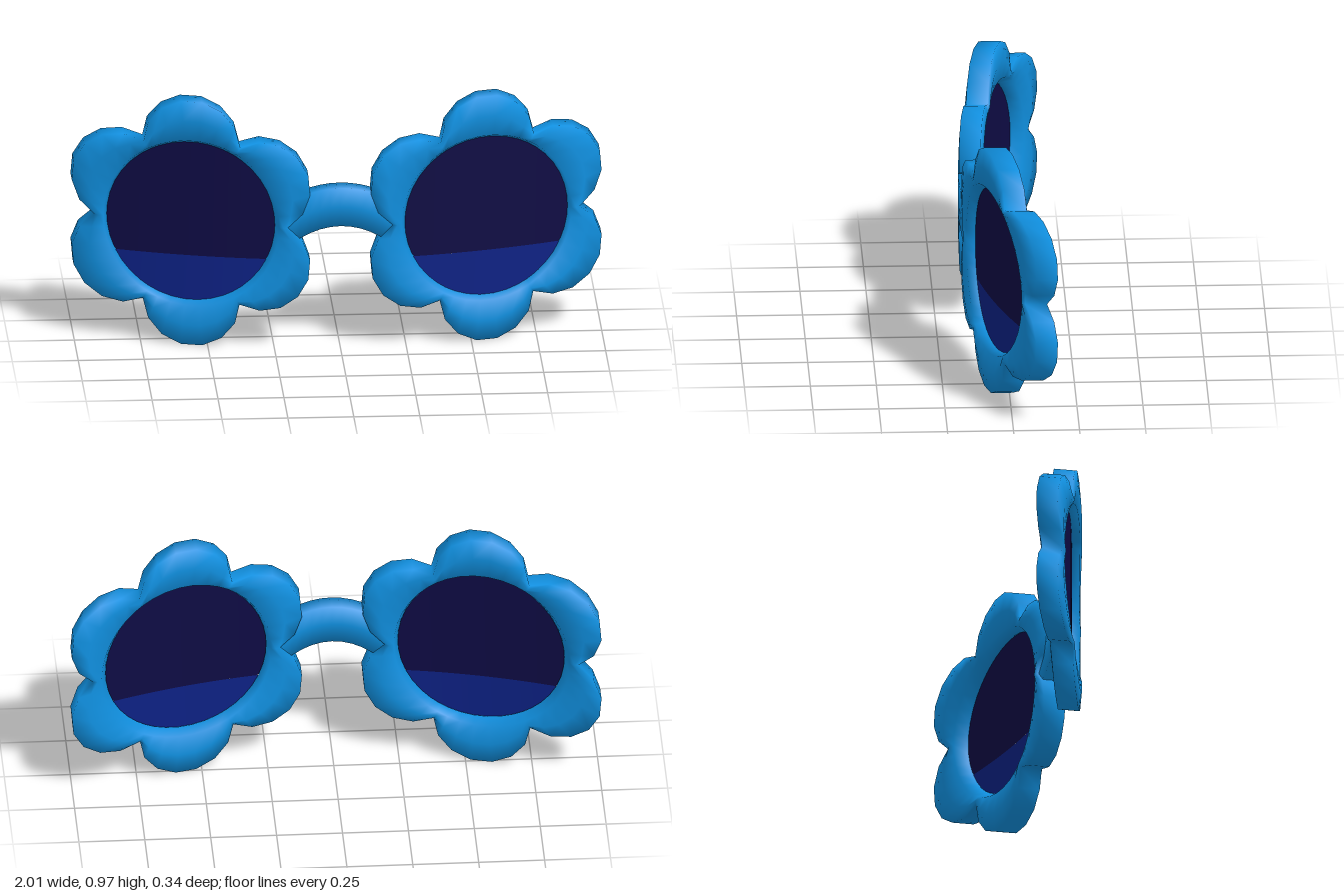
import * as THREE from 'three';
import { mergeVertices } from 'three/addons/utils/BufferGeometryUtils.js';

const CX = 0.56, CY = 0.483, LENS_R = 0.315, STRIPE_Y = 0.345;
// Wrap-around bend: depth of the glasses at a given x
const bend = (x) => 0.13 - 0.04 * Math.abs(x) - 0.215 * x * x;

const material = (name, color) => {
  const m = new THREE.MeshStandardMaterial({ color });
  m.name = name;
  return m;
};

// Six round petals, seven flat edges each, swept around the lens opening
function flowerFrame(cx) {
  const outline = [];
  for (let p = 0; p < 6; p++) {
    const dir = Math.PI / 6 + (p * Math.PI) / 3;
    for (let s = 0; s < 7; s++) {
      const a = dir + THREE.MathUtils.degToRad(-88 + (s * 176) / 7);
      outline.push([
        0.305 * Math.cos(dir) + 0.182 * Math.cos(a),
        0.305 * Math.sin(dir) + 0.182 * Math.sin(a),
      ]);
    }
  }
  // Cross-section: [inner offset, share of petal width, depth]
  const profile = [
    [0, 0, 0], [0.018, 0, 0.04], [0.018, 0.5, 0.048], [0.018, 1, 0.041],
    [0.018, 1, -0.041], [0.018, 0.5, -0.048], [0.018, 0, -0.04],
  ];
  const n = outline.length, m = profile.length, pos = [], index = [];
  outline.forEach(([ox, oy], i) => {
    const R = Math.hypot(ox, oy);
    profile.forEach(([add, t, z], j) => {
      const r = 0.31 + add + t * (R - 0.328);
      const x = cx + (ox / R) * r;
      pos.push(x, CY + (oy / R) * r, bend(x) + z);
      const i2 = (i + 1) % n, j2 = (j + 1) % m;
      const a = i * m + j, b = i * m + j2, c = i2 * m + j2, d = i2 * m + j;
      index.push(a, b, d, b, c, d);
    });
  });
  const g = new THREE.BufferGeometry();
  g.setAttribute('position', new THREE.Float32BufferAttribute(pos, 3));
  g.setIndex(index);
  g.computeVertexNormals();
  return g;
}

// Bent sheet covering the part of the lens disc between two heights
function lensSheet(cx, yMin, yMax, halfWidth) {
  const g = new THREE.PlaneGeometry(2, 2, 32, 1);
  const p = g.attributes.position;
  for (let i = 0; i < p.count; i++) {
    const dx = halfWidth * Math.sin((p.getX(i) * Math.PI) / 2);
    const h = Math.sqrt(Math.max(0, LENS_R * LENS_R - dx * dx));
    const y = THREE.MathUtils.clamp(CY + Math.sign(p.getY(i)) * h, yMin, yMax);
    p.setXYZ(i, cx + dx, y, bend(cx + dx) + 0.008);
  }
  g.computeVertexNormals();
  return g;
}

// Arched bar between the two flowers
function bridgeBar() {
  let g = new THREE.BoxGeometry(0.46, 2, 0.072, 12, 2, 1);
  g.deleteAttribute('normal');
  g.deleteAttribute('uv');
  g = mergeVertices(g);
  const p = g.attributes.position;
  for (let i = 0; i < p.count; i++) {
    const x = p.getX(i);
    const top = 0.64 - 1.5 * x * x, bottom = 0.49 - 2.1 * x * x;
    const y = THREE.MathUtils.lerp(bottom, top, (p.getY(i) + 1) / 2);
    p.setXYZ(i, x, y, p.getZ(i) + 0.134 - 0.5 * x * x);
  }
  g.computeVertexNormals();
  return g;
}

export function createModel() {
  const blue = material('frameBlue', 0x1090e0);
  const navy = material('lensNavy', 0x0e0b44);
  const stripe = material('lensStripeBlue', 0x0d2184);
  navy.side = stripe.side = THREE.DoubleSide;

  const model = new THREE.Group();
  model.name = 'flowerGlasses';
  const add = (name, geometry, mat) => {
    const mesh = new THREE.Mesh(geometry, mat);
    mesh.name = name;
    model.add(mesh);
  };

  const chord = Math.sqrt(LENS_R ** 2 - (CY - STRIPE_Y) ** 2);
  for (const [side, s] of [['left', 1], ['right', -1]]) {
    add(side + 'FlowerFrame', flowerFrame(s * CX), blue);
    add(side + 'Lens', lensSheet(s * CX, STRIPE_Y, 2, LENS_R), navy);
    add(side + 'LensStripe', lensSheet(s * CX, 0, STRIPE_Y, chord), stripe);
  }
  add('bridge', bridgeBar(), blue);
  return model;
}
